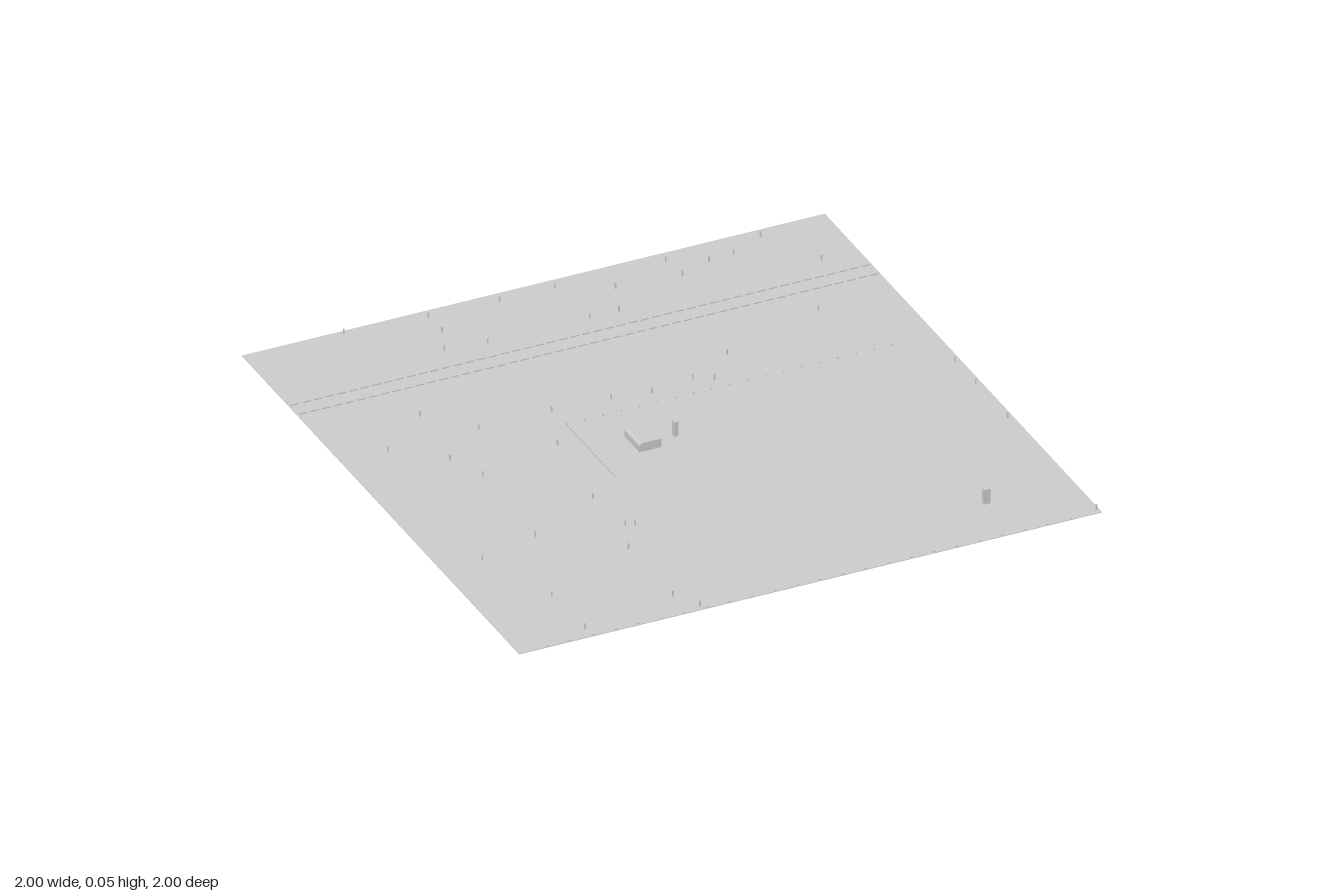
import * as THREE from 'three';

export function createModel() {
  const model = new THREE.Group();
  const grey = new THREE.MeshStandardMaterial({ color: 0xcccccc });
  grey.name = 'light grey';
  const ground = 0.002;

  // Box standing on the ground
  function box(name, x, z, w, h, d, parent = model) {
    const mesh = new THREE.Mesh(new THREE.BoxGeometry(w, h, d), grey);
    mesh.name = name;
    mesh.position.set(x, ground + h / 2, z);
    parent.add(mesh);
    return mesh;
  }
  function group(name) {
    const g = new THREE.Group();
    g.name = name;
    model.add(g);
    return g;
  }

  // Flat square terrain
  const terrain = new THREE.Mesh(new THREE.BoxGeometry(2, ground, 2), grey);
  terrain.name = 'terrain';
  terrain.position.y = ground / 2;
  model.add(terrain);

  // Low building with a chamfered eave on one side
  const profile = new THREE.Shape([
    [-0.14, 0], [-0.064, 0], [-0.064, 0.031], [-0.133, 0.031], [-0.14, 0.024],
  ].map(([x, y]) => new THREE.Vector2(x, y)));
  const house = new THREE.Mesh(
    new THREE.ExtrudeGeometry(profile, { depth: 0.106, bevelEnabled: false }), grey);
  house.name = 'building';
  house.position.set(0, ground, -0.047);
  model.add(house);

  // Two upright towers
  box('centralTower', 0.005, 0.012, 0.013, 0.052, 0.018);
  box('cornerTower', 0.7, 0.795, 0.022, 0.052, 0.017);

  // Two parallel broken rails across the back
  const rails = group('rails');
  for (const z of [-0.6, -0.66]) {
    for (let i = 0; i < 50; i++) box('railSegment', -0.98 + i * 0.04, z, 0.028, 0.004, 0.003, rails);
  }

  // Low fence beside and behind the building
  const fence = group('fence');
  for (let i = 0; i < 18; i++) box('sideFence', -0.272, -0.185 + i * 0.02, 0.003, 0.004, 0.014, fence);
  for (let i = 0; i < 19; i++) box('backFence', -0.27 + i * 0.062, -0.19, 0.004, 0.005, 0.003, fence);

  // Small markers along the front edge
  const edge = group('edgeMarkers');
  for (let i = 0; i < 24; i++) box('edgeMarker', -0.9 + i * 0.078, 0.995, 0.01, 0.003, 0.003, edge);

  // Scattered posts
  const posts = group('posts');
  const spots = [
    [-0.66, -0.98], [-0.38, -0.96], [-0.38, -0.86], [-0.14, -0.95], [0.05, -0.95], [0.43, -0.95],
    [0.76, -0.96], [0.64, -0.9], [0.55, -0.89], [0.22, -0.87], [0.44, -0.85], [-0.42, -0.76],
    [-0.28, -0.74], [0.07, -0.74], [0.17, -0.74], [0.87, -0.75], [0.73, -0.48], [-0.66, -0.43],
    [0.36, -0.36], [-0.84, -0.28], [-0.53, -0.28], [-0.28, -0.28], [-0.08, -0.27], [0.05, -0.25],
    [0.2, -0.27], [0.26, -0.24], [-0.69, -0.15], [-0.35, -0.09], [-0.64, -0.02], [0.98, -0.02],
    [-0.39, 0.25], [-0.65, 0.38], [-0.86, 0.44], [-0.37, 0.44], [-0.34, 0.45], [-0.42, 0.57],
    [-0.76, 0.73], [-0.42, 0.89], [-0.75, 0.95], [0.98, 0.36], [-0.37, 0.98], [0.98, 0.13], [0.99, 0.98],
  ];
  for (const [x, z] of spots) box('post', x, z, 0.004, 0.02, 0.004, posts);

  return model;
}
